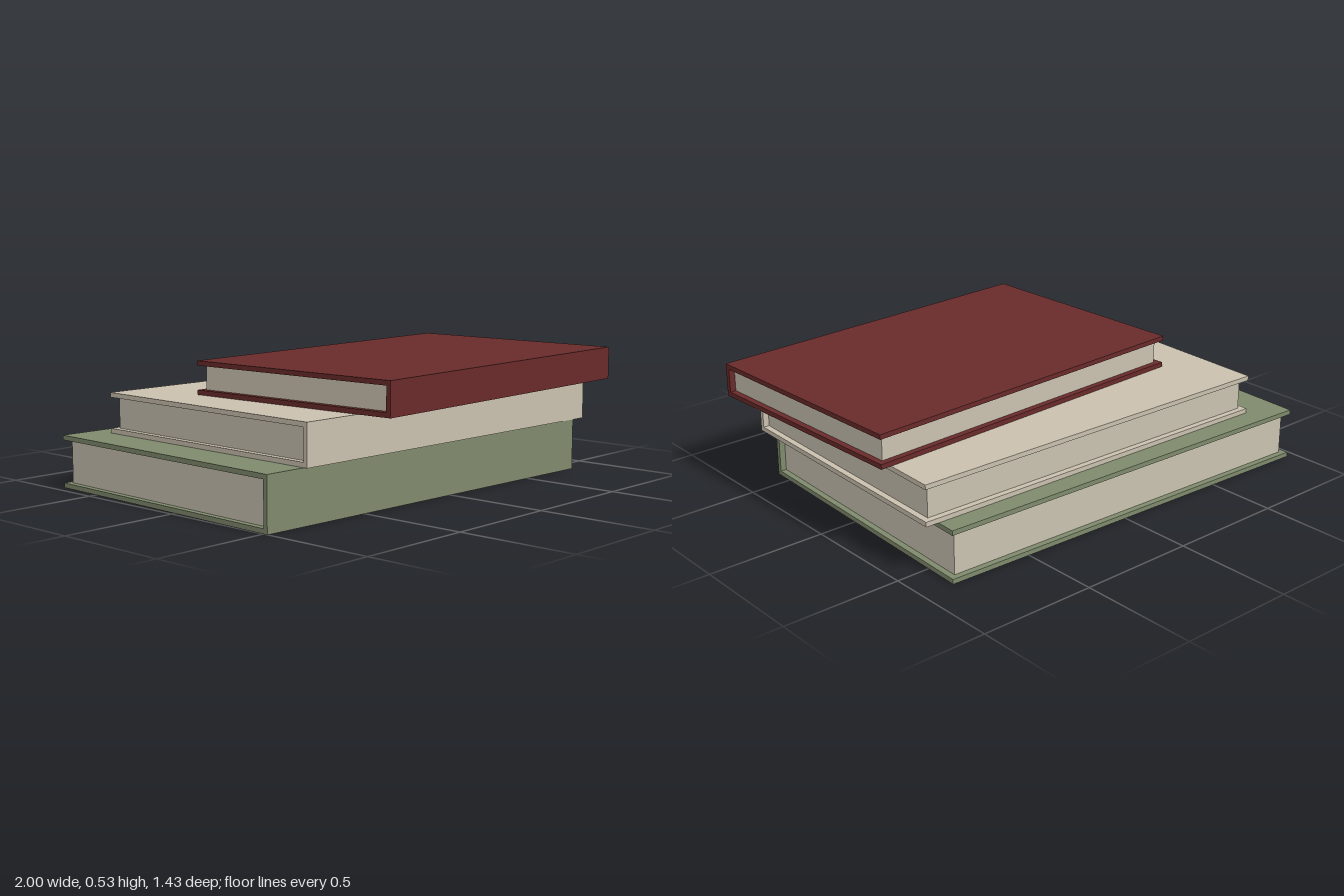
import * as THREE from 'three';

const BOARD = 0.02;  // cover thickness
const INSET = 0.026; // page block set back from the cover edges

const material = (name, color) => {
  const m = new THREE.MeshStandardMaterial({ color });
  m.name = name;
  return m;
};

function makeBook(name, coverMaterial, pageMaterial, { length, depth, bottom, height, x, z, turn }) {
  const book = new THREE.Group();
  book.name = name;

  // Cover: C-shaped section (two boards and a spine at the front) swept along the length
  const d = depth / 2;
  const section = new THREE.Shape([
    [-d, 0], [d, 0], [d, BOARD], [-d + BOARD, BOARD],
    [-d + BOARD, height - BOARD], [d, height - BOARD], [d, height], [-d, height],
  ].map(([a, b]) => new THREE.Vector2(a, b)));
  const coverGeometry = new THREE.ExtrudeGeometry(section, { depth: length, bevelEnabled: false });
  coverGeometry.translate(0, 0, -length / 2).rotateY(Math.PI / 2);
  const cover = new THREE.Mesh(coverGeometry, coverMaterial);
  cover.name = 'cover';

  // Page block: against the spine, set back on the three open sides
  const pageDepth = depth - BOARD - INSET;
  const pages = new THREE.Mesh(
    new THREE.BoxGeometry(length - 2 * INSET, height - 2 * BOARD, pageDepth), pageMaterial);
  pages.name = 'pages';
  pages.position.set(0, height / 2, (INSET - BOARD) / 2);

  book.add(cover, pages);
  book.position.set(x, bottom, z);
  book.rotation.y = turn;
  return book;
}

export function createModel() {
  const green = material('sage green cover', 0x7f8a6c);
  const cream = material('cream cover', 0xc9c0ae);
  const red = material('dark red cover', 0x692a2a);
  const paper = material('paper', 0xcac2b0);

  const stack = new THREE.Group();
  stack.name = 'bookStack';
  stack.add(
    makeBook('bottomBook', green, paper,
      { length: 1.821, depth: 1.24, bottom: 0, height: 0.22, x: -0.07, z: -0.067, turn: -0.035 }),
    makeBook('middleBook', cream, paper,
      { length: 1.706, depth: 1.16, bottom: 0.22, height: 0.17, x: 0.0475, z: -0.0125, turn: -0.026 }),
    makeBook('topBook', red, paper,
      { length: 1.551, depth: 1.006, bottom: 0.39, height: 0.14, x: 0.2025, z: 0.175, turn: 0.042 }),
  );
  return stack;
}
